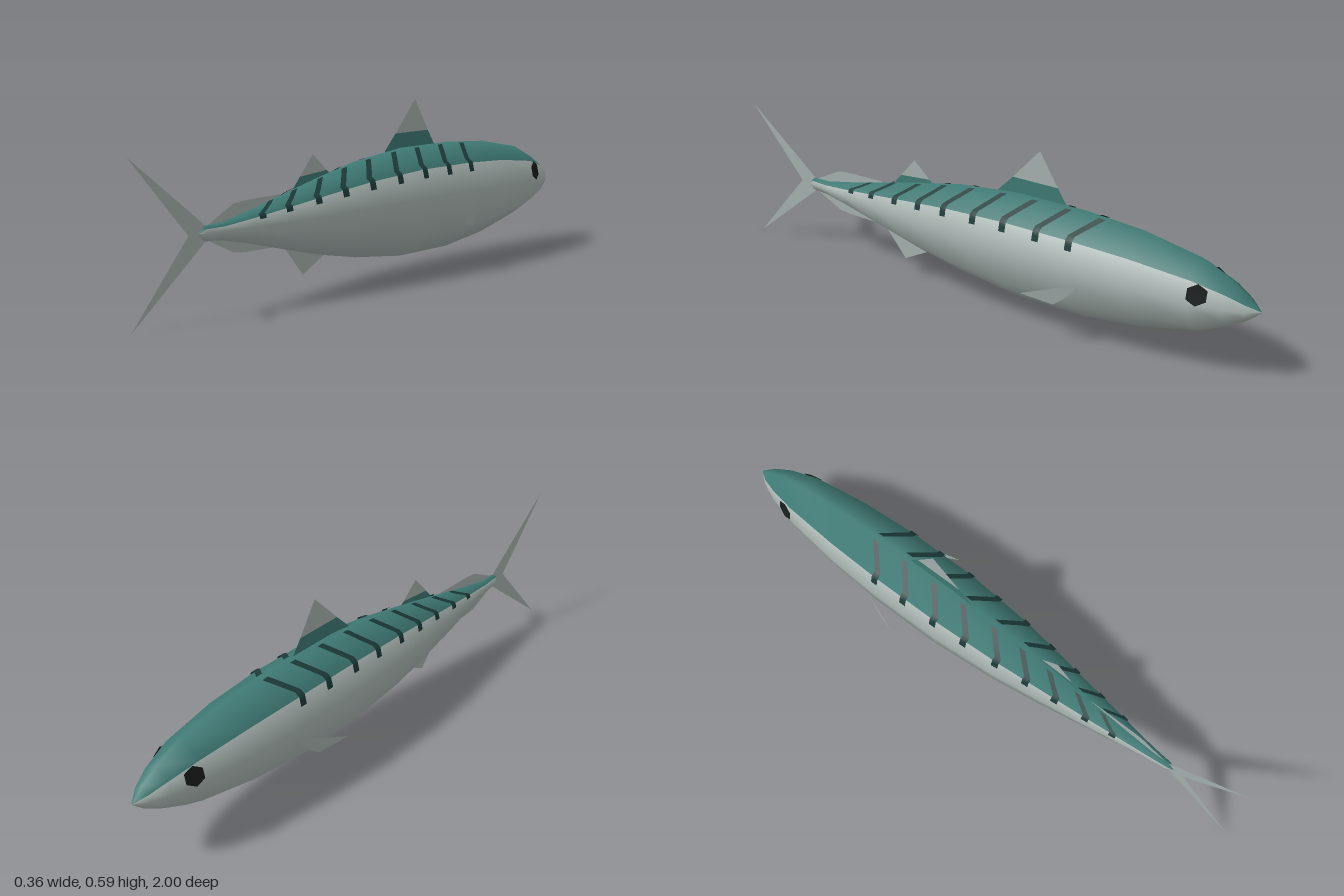
import * as THREE from 'three';

const material = (name, color, side = THREE.FrontSide) => {
  const m = new THREE.MeshStandardMaterial({ color, side });
  m.name = name;
  return m;
};

// Body stations: z, half width, top y, side y, bottom y (head at -z)
const STATIONS = [
  [-1, 0.002, 0.257, 0.255, 0.253], [-0.96, 0.034, 0.293, 0.255, 0.216],
  [-0.9, 0.06, 0.335, 0.257, 0.178], [-0.8, 0.087, 0.38, 0.26, 0.132],
  [-0.6, 0.112, 0.417, 0.265, 0.085], [-0.4, 0.123, 0.43, 0.27, 0.06],
  [-0.15, 0.122, 0.43, 0.27, 0.06], [0.08, 0.105, 0.405, 0.265, 0.088],
  [0.25, 0.082, 0.37, 0.26, 0.122], [0.4, 0.06, 0.335, 0.257, 0.16],
  [0.55, 0.037, 0.3, 0.255, 0.2], [0.66, 0.021, 0.278, 0.254, 0.225],
  [0.725, 0.013, 0.277, 0.254, 0.23], [0.745, 0.002, 0.257, 0.254, 0.25],
];
// Eight-sided section: sideways and vertical factors, from the spine round +x
const SECTION = [[0, 1], [0.82, 0.59], [1, 0], [0.84, -0.575], [0, -1], [-0.84, -0.575], [-1, 0], [-0.82, 0.59]];

const corner = ([z, w, top, mid, low], j) => {
  const [sx, sy] = SECTION[j % 8];
  return new THREE.Vector3(sx * w, mid + sy * (sy > 0 ? top - mid : mid - low), z);
};

function stationAt(z) {
  let i = 0;
  while (i < STATIONS.length - 2 && STATIONS[i + 1][0] < z) i++;
  const a = STATIONS[i], b = STATIONS[i + 1], t = (z - a[0]) / (b[0] - a[0]);
  return a.map((v, k) => v + (b[k] - v) * t);
}

// Point on the skin at section position u (0 = spine, 2 = flank), lifted outward
function skin(u, z, lift) {
  const s = stationAt(z), j = Math.floor(u);
  const p = corner(s, j).lerp(corner(s, j + 1), u - j);
  const out = new THREE.Vector3(p.x, p.y - s[3], 0).normalize();
  return p.addScaledVector(out, lift);
}

function geometryFrom(points, index) {
  const g = new THREE.BufferGeometry();
  g.setAttribute('position', new THREE.Float32BufferAttribute(points.flatMap((p) => [p.x, p.y, p.z]), 3));
  g.setIndex(index);
  g.computeVertexNormals();
  return g;
}

// Smooth loft; the two strips beside the spine take the back colour
function bodyGeometry() {
  const points = STATIONS.flatMap((s) => SECTION.map((_, j) => corner(s, j)));
  const back = [], belly = [];
  for (let i = 0; i < STATIONS.length - 1; i++) {
    for (let j = 0; j < 8; j++) {
      const a = i * 8 + j, b = i * 8 + (j + 1) % 8, c = a + 8, d = b + 8;
      (j === 0 || j === 7 ? back : belly).push(a, c, b, b, c, d);
    }
  }
  const g = geometryFrom(points, [...back, ...belly]);
  g.addGroup(0, back.length, 0);
  g.addGroup(back.length, belly.length, 1);
  return g;
}

// Ribbon that sweeps back from the spine, then drops over the shoulder
function stripeGeometry(z0, side) {
  const points = [], index = [];
  [0.13, 0.35, 0.6, 0.85, 1, 1.15, 1.33].forEach((u, i) => {
    const z = z0 - 0.075 * Math.max(0, 1 - u / 0.85);
    for (const dz of [-0.012, 0.012]) {
      const p = skin(u, z + dz, 0.005);
      p.x *= side;
      points.push(p);
    }
    if (i) {
      const k = i * 2;
      index.push(...(side > 0 ? [k - 2, k - 1, k, k, k - 1, k + 1] : [k - 2, k, k - 1, k, k + 1, k - 1]));
    }
  });
  return geometryFrom(points, index);
}

// Flat fin in the middle plane, outlined by [z, y] pairs
function finGeometry(outline) {
  const g = new THREE.ShapeGeometry(new THREE.Shape(outline.map(([z, y]) => new THREE.Vector2(z, y))));
  return g.rotateY(-Math.PI / 2);
}

export function createModel() {
  const group = new THREE.Group();
  const silver = material('silver', 0xacb8b5);
  const teal = material('teal back', 0x3f7a75);
  const finSilver = material('fin silver', 0xa6b2af, THREE.DoubleSide);
  const finTeal = material('fin teal', 0x3f7a75, THREE.DoubleSide);
  const dark = material('dark stripe', 0x1c3b3a, THREE.DoubleSide);
  const black = material('eye black', 0x181c1c, THREE.DoubleSide);
  const add = (name, geometry, mat) => {
    const mesh = new THREE.Mesh(geometry, mat);
    mesh.name = name;
    group.add(mesh);
    return mesh;
  };

  add('body', bodyGeometry(), [teal, silver]);

  // Fins along the middle plane
  add('dorsalFinBase', finGeometry([[-0.07, 0.41], [-0.33, 0.41], [-0.33, 0.425], [-0.293, 0.48], [-0.124, 0.48], [-0.07, 0.425]]), finTeal);
  add('dorsalFinTip', finGeometry([[-0.293, 0.48], [-0.225, 0.59], [-0.124, 0.48]]), finSilver);
  add('rearDorsalFinBase', finGeometry([[0.19, 0.36], [0.2, 0.382], [0.21, 0.39], [0.33, 0.38], [0.37, 0.335], [0.37, 0.31]]), finTeal);
  add('rearDorsalFinTip', finGeometry([[0.21, 0.39], [0.272, 0.447], [0.33, 0.38]]), finSilver);
  add('analFin', finGeometry([[0.2, 0.13], [0.32, 0.068], [0.405, 0.17], [0.3, 0.2]]), finSilver);
  add('upperKeelFin', finGeometry([[0.37, 0.32], [0.42, 0.335], [0.56, 0.333], [0.61, 0.328], [0.72, 0.272], [0.6, 0.26]]), finSilver);
  add('lowerKeelFin', finGeometry([[0.38, 0.18], [0.42, 0.173], [0.56, 0.175], [0.61, 0.18], [0.72, 0.235], [0.6, 0.25]]), finSilver);
  add('tailFin', finGeometry([[0.71, 0.268], [1, 0.503], [0.785, 0.254], [1, 0.003], [0.71, 0.238]]), finSilver);

  for (const [side, label] of [[1, 'left'], [-1, 'right']]) {
    // Swept pectoral fin
    const fin = [[0.116, 0.235, -0.45], [0.178, 0.18, -0.27], [0.14, 0.153, -0.37], [0.115, 0.205, -0.44]]
      .map(([x, y, z]) => new THREE.Vector3(side * x, y, z));
    add(label + 'PectoralFin', geometryFrom(fin, side > 0 ? [0, 1, 2, 0, 2, 3] : [0, 2, 1, 0, 3, 2]), finSilver);

    // Hexagonal eye laid on the head
    const eye = [];
    for (let k = 0; k < 6; k++) {
      const a = (k + 0.5) * Math.PI / 3;
      const y = 0.293 + 0.034 * Math.sin(a), z = -0.825 + 0.034 * Math.cos(a);
      const s = stationAt(z), t = (y - s[3]) / ((s[2] - s[3]) * 0.59);
      const x = s[1] * (1 - 0.18 * Math.max(0, t)) + 0.005;
      eye.push(new THREE.Vector3(side * x, y, z));
    }
    const fan = [];
    for (let k = 1; k < 5; k++) fan.push(0, ...(side > 0 ? [k + 1, k] : [k, k + 1]));
    add(label + 'Eye', geometryFrom(eye, fan), black);

    // Chevron stripes
    [-0.4, -0.28, -0.155, -0.035, 0.09, 0.203, 0.312, 0.425, 0.525].forEach((z) => {
      add(label + 'Stripe', stripeGeometry(z, side), dark);
    });
  }
  return group;
}
